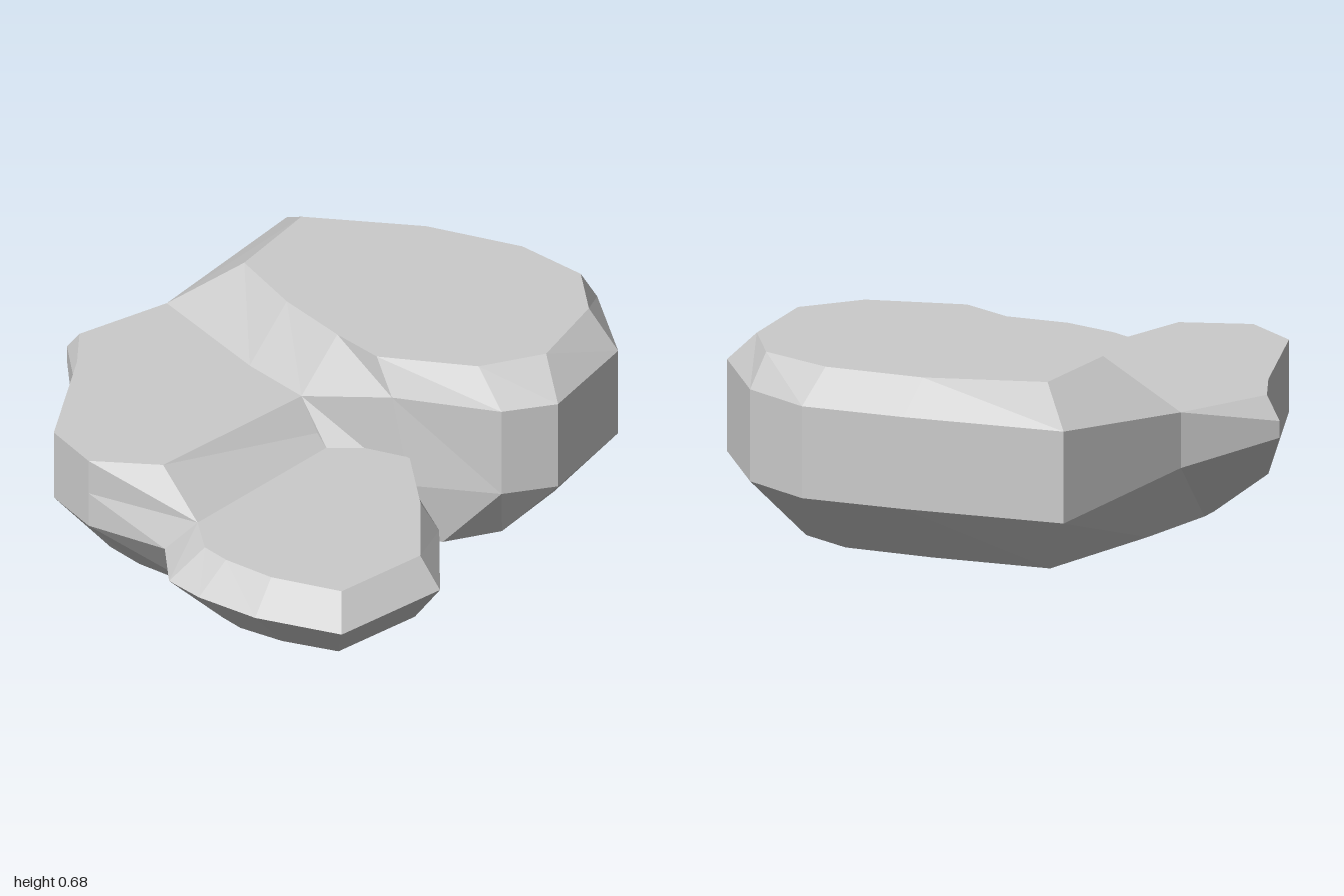
import * as THREE from 'three';

const material = new THREE.MeshStandardMaterial({ color: 0xcccccc, flatShading: true });

// Lofts a faceted stone from vertical columns of points (bottom to top),
// listed clockwise as seen from above, and closes it with flat caps.
function stone(name, columns) {
  const positions = [];
  const tri = (a, b, c) => positions.push(...a, ...b, ...c);
  const levels = columns[0].length;

  columns.forEach((col, i) => {
    const next = columns[(i + 1) % columns.length];
    for (let k = 0; k < levels - 1; k++) {
      tri(col[k], col[k + 1], next[k + 1]);
      tri(col[k], next[k + 1], next[k]);
    }
  });

  const cap = (level, up) => {
    const ring = columns.map((col) => col[level]);
    const outline = ring.map((p) => new THREE.Vector2(p[0], p[2]));
    for (const face of THREE.ShapeUtils.triangulateShape(outline, [])) {
      const [a, b, c] = face.map((n) => ring[n]);
      const ny = (b[2] - a[2]) * (c[0] - a[0]) - (b[0] - a[0]) * (c[2] - a[2]);
      if (ny > 0 === up) tri(a, b, c);
      else tri(a, c, b);
    }
  };
  cap(0, false);
  cap(levels - 1, true);

  const geometry = new THREE.BufferGeometry();
  geometry.setAttribute('position', new THREE.Float32BufferAttribute(positions, 3));
  geometry.computeVertexNormals();
  const mesh = new THREE.Mesh(geometry, material);
  mesh.name = name;
  return mesh;
}

// Column with an upright wall at (x, z) between two heights.
const wall = (bx, bz, x, z, low, high, tx, tz, top) => [
  [bx, 0, bz], [x, low, z], [x, high, z], [tx, top, tz],
];

export function createModel() {
  const group = new THREE.Group();
  group.name = 'steppedRocks';

  // Tall rear stone: undercut base, upright wall, bevelled flat top
  const rear = (bx, bz, x, z, tx, tz) => wall(bx, bz, x, z, 0.23, 0.56, tx, tz, 0.68);
  group.add(stone('tallRearStone', [
    rear(-0.68, -0.42, -0.88, -0.54, -0.70, -0.45),
    rear(-0.31, -0.63, -0.38, -0.83, -0.37, -0.73),
    rear(-0.02, -0.77, -0.05, -1.00, -0.05, -0.89),
    rear(0.18, -0.77, 0.22, -0.995, 0.22, -0.92),
    rear(0.40, -0.64, 0.54, -0.81, 0.41, -0.79),
    rear(0.48, -0.33, 0.67, -0.42, 0.54, -0.48),
    rear(0.40, -0.13, 0.58, -0.24, 0.45, -0.25),
    [[0.22, 0, -0.01], [0.33, 0.23, -0.04], [0.26, 0.56, -0.02], [0.17, 0.68, -0.03]],
    [[0.05, 0, 0.10], [0.09, 0.34, 0.13], [-0.04, 0.49, 0.13], [-0.03, 0.68, -0.025]],
    wall(-0.31, 0.10, -0.31, 0.13, 0.23, 0.49, -0.31, -0.04, 0.68),
    wall(-0.63, 0.08, -0.81, 0.07, 0.29, 0.49, -0.60, -0.10, 0.68),
  ]));

  // Middle-height stone, with a sloping side towards the low stone
  group.add(stone('middleStone', [
    wall(-0.63, 0.08, -0.81, 0.07, 0.29, 0.45, -0.81, 0.07, 0.49),
    wall(-0.31, -0.10, -0.31, -0.10, 0.23, 0.40, -0.31, -0.10, 0.49),
    [[0.06, 0, -0.10], [0.06, 0.23, -0.10], [0.06, 0.34, -0.10], [-0.05, 0.49, -0.10]],
    [[0.07, 0, 0.70], [0.09, 0.23, 0.87], [0.17, 0.34, 0.79], [-0.01, 0.49, 0.79]],
    wall(-0.18, 0.75, -0.20, 0.965, 0.23, 0.36, -0.20, 0.965, 0.49),
    wall(-0.33, 0.75, -0.42, 0.93, 0.23, 0.36, -0.42, 0.93, 0.49),
    wall(-0.56, 0.45, -0.72, 0.56, 0.15, 0.36, -0.72, 0.56, 0.49),
    wall(-0.58, 0.39, -0.92, 0.43, 0.35, 0.41, -0.855, 0.43, 0.49),
  ]));

  // Low stone: undercut base and a bevelled rim
  const low = (bx, bz, x, z, tx, tz) => [[bx, 0, bz], [x, 0.23, z], [tx, 0.34, tz]];
  group.add(stone('lowStone', [
    low(0.23, 0.00, 0.33, -0.045, 0.33, -0.04),
    low(0.48, 0.12, 0.62, 0.08, 0.58, 0.13),
    low(0.71, 0.27, 0.92, 0.34, 0.84, 0.36),
    low(0.71, 0.62, 0.92, 0.79, 0.84, 0.72),
    low(0.53, 0.72, 0.64, 0.94, 0.61, 0.84),
    low(0.37, 0.77, 0.41, 0.995, 0.42, 0.88),
    low(0.28, 0.77, 0.26, 1.00, 0.31, 0.88),
    low(0.08, 0.70, 0.09, 0.87, 0.17, 0.79),
    low(-0.05, 0.60, -0.05, 0.65, -0.05, 0.65),
    low(-0.05, 0.00, -0.05, 0.00, -0.05, 0.00),
  ]));

  return group;
}
